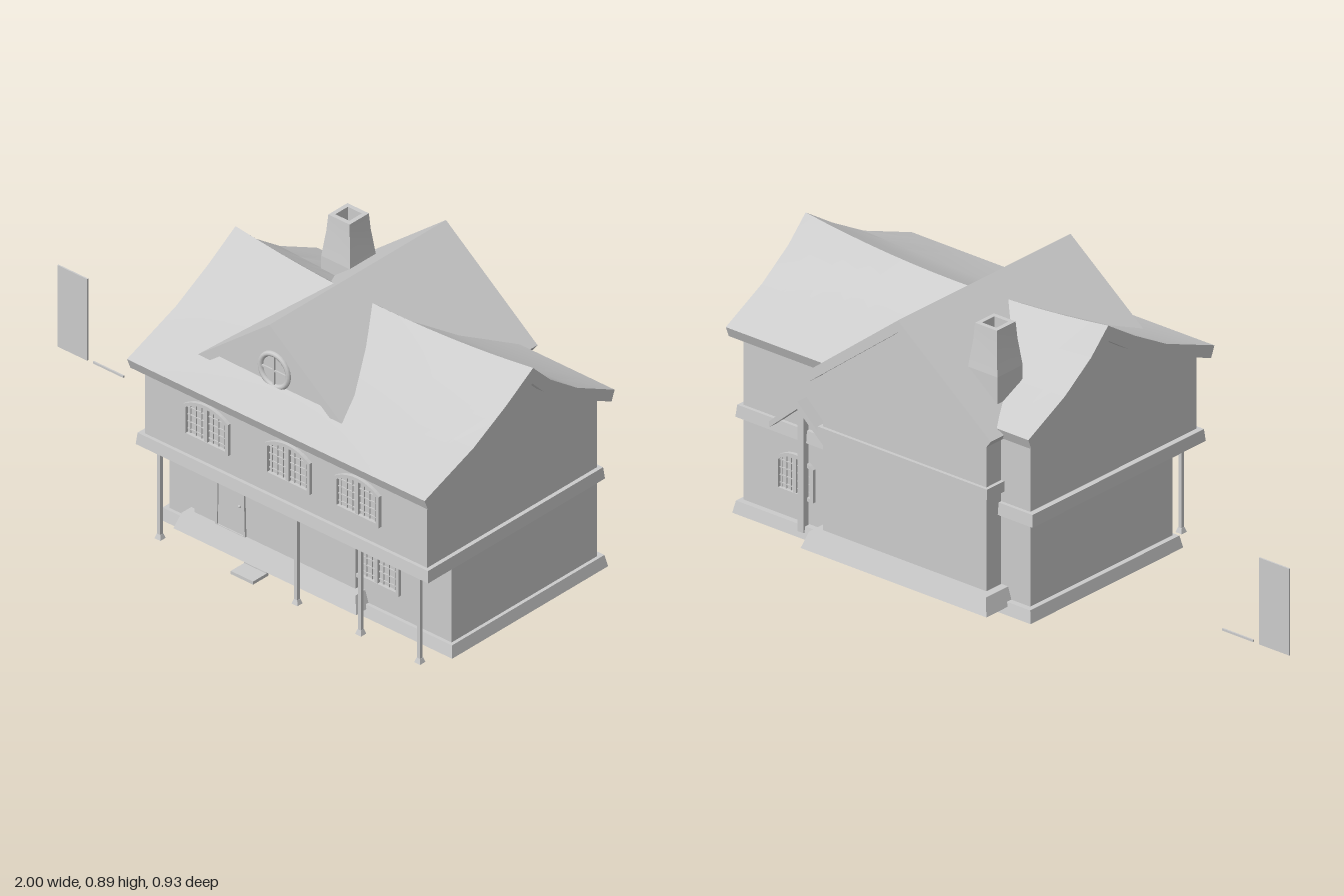
import * as THREE from 'three';
import { toCreasedNormals } from 'three/addons/utils/BufferGeometryUtils.js';

const mat = new THREE.MeshStandardMaterial({ color: 0xcccccc });

function add(parent, name, geo) {
  const m = new THREE.Mesh(geo, mat);
  m.name = name;
  parent.add(m);
  return m;
}

// Box given by its limits; the top may be drawn in to make a sloped trim
function block(x0, x1, y0, y1, z0, z1, inset = 0) {
  const g = new THREE.BoxGeometry(x1 - x0, y1 - y0, z1 - z0);
  const p = g.attributes.position;
  for (let i = 0; i < p.count; i++) {
    if (p.getY(i) > 0) {
      p.setX(i, p.getX(i) - Math.sign(p.getX(i)) * inset);
      p.setZ(i, p.getZ(i) - Math.sign(p.getZ(i)) * inset);
    }
  }
  g.translate((x0 + x1) / 2, (y0 + y1) / 2, (z0 + z1) / 2);
  g.computeVertexNormals();
  return g;
}

const shapeOf = (pts) => new THREE.Shape(pts.map(([a, b]) => new THREE.Vector2(a, b)));

// Profile in x,y swept along z
function alongZ(pts, z0, z1) {
  return new THREE.ExtrudeGeometry(shapeOf(pts), { depth: z1 - z0, bevelEnabled: false }).translate(0, 0, z0);
}

// Profile in z,y swept along x, with the ridge sagging towards the middle
function saggingAlongX(pts, x0, x1) {
  let g = new THREE.ExtrudeGeometry(shapeOf(pts.map(([z, y]) => [-z, y])), { depth: x1 - x0, steps: 14, bevelEnabled: false });
  g.rotateY(Math.PI / 2).translate(x0, 0, 0);
  const p = g.attributes.position;
  for (let i = 0; i < p.count; i++) {
    const t = (p.getX(i) - 0.4) / 0.6;
    const h = Math.max(0, (p.getY(i) - 0.62) / 0.25);
    p.setY(i, p.getY(i) - 0.042 * h * Math.max(0, 1 - t * t));
  }
  return toCreasedNormals(g, 0.15);
}

// Arched outline, centred on x = 0 and standing on y = 0
function arch(Type, w, h, rise, o = 0) {
  const s = new Type();
  s.moveTo(-w / 2 + o, o);
  s.lineTo(w / 2 - o, o);
  s.lineTo(w / 2 - o, h - rise - o * 0.5);
  s.quadraticCurveTo(w / 4, h - o, 0, h - o);
  s.quadraticCurveTo(-w / 4, h - o, -w / 2 + o, h - rise - o * 0.5);
  return s;
}

// Arched double window with fine glazing bars
function makeWindow(name, w, h) {
  const g = new THREE.Group();
  g.name = name;
  const s = arch(THREE.Shape, w, h, 0.03);
  s.holes.push(arch(THREE.Path, w, h, 0.03, 0.012));
  add(g, 'windowFrame', new THREE.ExtrudeGeometry(s, { depth: 0.012, bevelEnabled: false, curveSegments: 6 }));
  add(g, 'windowMullion', block(-0.006, 0.006, 0.01, h - 0.01, 0, 0.01));
  for (const side of [-1, 1]) {
    for (let i = 1; i < 4; i++) {
      const x = side * i * w / 8;
      add(g, 'glazingBar', block(x - 0.0015, x + 0.0015, 0.01, h - 0.02, 0, 0.004));
    }
  }
  for (let i = 1; i < 5; i++) {
    const y = i * h / 5.5;
    add(g, 'glazingBar', block(-w / 2 + 0.01, w / 2 - 0.01, y - 0.0015, y + 0.0015, 0, 0.004));
  }
  return g;
}

export function createModel() {
  const house = new THREE.Group();
  house.name = 'house';

  // Main house: base, recessed ground floor, ledge
  add(house, 'base', block(-0.19, 0.99, 0, 0.04, -0.37, 0.33, 0.008));
  add(house, 'groundFloor', block(-0.165, 0.97, 0.04, 0.32, -0.342, 0.31));
  add(house, 'ledge', block(-0.188, 0.988, 0.315, 0.355, -0.358, 0.436, 0.004));

  // Upper floor and gables, filled up to the underside of the roof
  const under = [[0.45, 0.588], [0.23, 0.674], [0.07, 0.757], [-0.018, 0.815], [-0.07, 0.762], [-0.2, 0.67], [-0.374, 0.585]];
  const top = [[-0.388, 0.62], [-0.22, 0.705], [-0.1, 0.79], [-0.022, 0.868], [0.1, 0.79], [0.245, 0.71], [0.465, 0.625]];
  add(house, 'upperFloor', saggingAlongX([[0.42, 0.35], [0.42, 0.602], ...under.slice(1, 6).map(([z, y]) => [z, y + 0.004]), [-0.342, 0.603], [-0.342, 0.35]], -0.165, 0.97));
  add(house, 'mainRoof', saggingAlongX([...under, ...top], -0.197, 1));

  // Cross wing running front to back
  const cx = 0.273;
  add(house, 'wingBase', block(-0.095, 0.64, 0.026, 0.08, -0.462, 0.371, 0.018));
  add(house, 'wingWalls', alongZ([[-0.05, 0.07], [0.596, 0.07], [0.596, 0.605], [cx, 0.855], [-0.05, 0.605]], -0.41, 0.325));
  add(house, 'wingLedge', block(-0.062, 0.608, 0.39, 0.425, -0.421, -0.3));
  add(house, 'wingRoof', alongZ([[cx - 0.368, 0.602], [cx - 0.35, 0.578], [cx, 0.85], [cx + 0.35, 0.578], [cx + 0.368, 0.602], [cx, 0.89]], -0.442, 0.35));

  // Round gable window
  const round = new THREE.Group();
  round.name = 'roundWindow';
  round.position.set(cx, 0.718, 0.327);
  add(round, 'roundFrame', new THREE.TorusGeometry(0.056, 0.009, 8, 28));
  add(round, 'crossBar', block(-0.05, 0.05, -0.003, 0.003, 0, 0.005));
  add(round, 'crossBar', block(-0.003, 0.003, -0.05, 0.05, 0, 0.005));
  house.add(round);

  // Windows
  for (const x of [0.088, 0.416, 0.695]) {
    const w = makeWindow('upperWindow', 0.182, 0.14);
    w.position.set(x, 0.423, 0.42);
    house.add(w);
  }
  const low = makeWindow('groundWindow', 0.182, 0.142);
  low.position.set(0.675, 0.12, 0.31);
  house.add(low);
  const back = makeWindow('backWindow', 0.15, 0.14);
  back.position.set(0.76, 0.12, -0.342);
  back.rotation.y = Math.PI;
  house.add(back);

  // Front door with frame, handle and step
  const door = new THREE.Shape(shapeOf([[0.038, 0.08], [0.158, 0.08], [0.152, 0.298], [0.042, 0.298]]).getPoints());
  door.holes.push(new THREE.Path(shapeOf([[0.046, 0.082], [0.15, 0.082], [0.144, 0.29], [0.05, 0.29]]).getPoints()));
  add(house, 'doorFrame', new THREE.ExtrudeGeometry(door, { depth: 0.008, bevelEnabled: false }).translate(0, 0, 0.324));
  add(house, 'frontDoor', block(0.046, 0.15, 0.08, 0.29, 0.32, 0.328));
  add(house, 'doorHandle', new THREE.SphereGeometry(0.005, 8, 6).translate(0.135, 0.18, 0.331));
  add(house, 'step', block(0.18, 0.27, 0.002, 0.013, 0.35, 0.42));
  add(house, 'upperStep', block(0.18, 0.27, 0.013, 0.028, 0.32, 0.36));

  // Porch posts
  for (const x of [-0.115, 0.436, 0.692, 0.93]) {
    const post = new THREE.Group();
    post.name = 'porchPost';
    post.position.set(x, 0, 0.408);
    add(post, 'postShaft', block(-0.006, 0.006, 0.01, 0.32, -0.006, 0.006));
    add(post, 'postFoot', block(-0.012, 0.012, 0, 0.016, -0.012, 0.012, 0.005));
    add(post, 'postCap', block(-0.01, 0.01, 0.3, 0.318, -0.01, 0.01));
    house.add(post);
  }

  // Small gabled canopy on a post over the back entrance
  add(house, 'backCanopy', alongZ([[0.61, 0.36], [0.61, 0.34], [0.72, 0.435], [0.83, 0.34], [0.83, 0.36], [0.72, 0.46]], -0.386, -0.335));
  add(house, 'canopyPost', block(0.708, 0.732, 0.02, 0.44, -0.37, -0.346));
  add(house, 'wallLamp', new THREE.CapsuleGeometry(0.005, 0.018, 4, 8).translate(0.6, 0.143, -0.385));

  // Hollow, tapered chimney with a cap ring
  const flue = [[0.058, 0.64], [0.058, 0.75], [0.047, 0.84], [0.043, 0.895], [0.028, 0.895], [0.028, 0.8], [0, 0.8]];
  const chimney = new THREE.LatheGeometry(flue.map(([r, y]) => new THREE.Vector2(r * Math.SQRT2, y)), 4, Math.PI / 4);
  add(house, 'chimney', toCreasedNormals(chimney, 0.1).translate(0.038, 0, -0.267));

  // Separate board and rod standing beside the house
  add(house, 'board', block(-1, -0.88, 0.06, 0.348, -0.123, -0.118));
  add(house, 'rod', block(-0.857, -0.735, 0.06, 0.067, -0.123, -0.118));
  return house;
}
